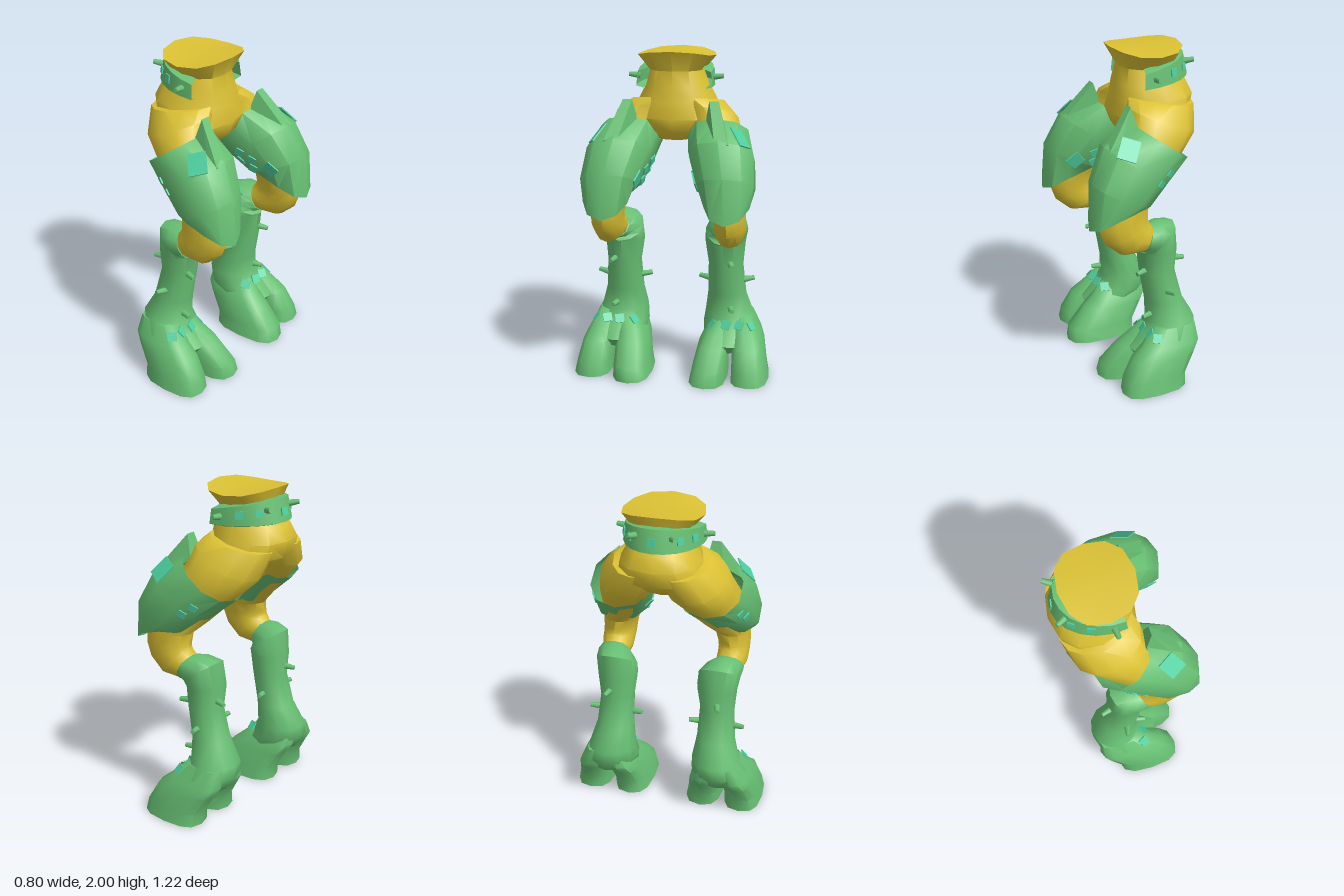
import * as THREE from 'three';
import { toCreasedNormals } from 'three/addons/utils/BufferGeometryUtils.js';
import { ConvexGeometry } from 'three/addons/geometries/ConvexGeometry.js';

const mat = (name, color, side = THREE.FrontSide) => {
  const m = new THREE.MeshStandardMaterial({ color, side });
  m.name = name;
  return m;
};
const V = (x, y, z) => new THREE.Vector3(x, y, z);

// Skin a row of elliptical rings: [x, y, z, tilt in degrees, radius u, radius z, side lift]
function loft(rings, { n = 12, pow = 1, from = 0, to = 360, caps = true, crease = 0.75 } = {}) {
  const pos = [], idx = [], row = n + 1;
  const soft = v => Math.sign(v) * Math.abs(v) ** pow;
  const rad = THREE.MathUtils.degToRad;
  for (const [x, y, z, tilt, ru, rz, lift = 0] of rings) {
    for (let i = 0; i <= n; i++) {
      const t = rad(from + (to - from) * i / n);
      const c = soft(Math.cos(t)) * ru, s = Math.sin(t);
      pos.push(x + c * Math.cos(rad(tilt)), y + c * Math.sin(rad(tilt)) + lift * s * s, z + soft(s) * rz);
    }
  }
  for (let r = 0; r < rings.length - 1; r++) {
    for (let i = 0; i < n; i++) {
      const a = r * row + i, b = a + 1, c = a + row, d = c + 1;
      idx.push(a, b, c, b, d, c);
    }
  }
  if (caps) {
    for (const r of [0, rings.length - 1]) {
      const centre = pos.length / 3, [x, y, z, , , , lift = 0] = rings[r];
      pos.push(x, y + lift / 2, z);
      for (let i = 0; i < n; i++) {
        const a = r * row + i;
        if (r) idx.push(centre, a, a + 1); else idx.push(centre, a + 1, a);
      }
    }
  }
  const g = new THREE.BufferGeometry();
  g.setAttribute('position', new THREE.Float32BufferAttribute(pos, 3));
  g.setIndex(idx);
  return toCreasedNormals(g, crease);
}

function part(group, name, geometry, material) {
  const mesh = new THREE.Mesh(geometry, material);
  mesh.name = name;
  group.add(mesh);
  return mesh;
}

// Set a small piece on the surface found near a target, facing outwards
function stick(group, name, meshes, target, out, geometry, material, roll = 0) {
  const dir = out.clone().normalize();
  const ray = new THREE.Raycaster(target.clone().addScaledVector(dir, 0.8), dir.clone().negate());
  const hit = ray.intersectObjects(meshes, false)[0];
  if (!hit) return;
  const normal = hit.face.normal.clone();
  if (normal.dot(dir) < 0) normal.negate();
  const o = new THREE.Object3D();
  o.position.copy(hit.point).addScaledVector(normal, 0.004);
  o.lookAt(o.position.clone().add(normal));
  o.rotateZ(roll);
  o.updateMatrix();
  part(group, name, geometry.applyMatrix4(o.matrix), material);
}
const plate = (w, h = w) => new THREE.BoxGeometry(w, h, 0.008);
const stud = () => new THREE.CylinderGeometry(0.014, 0.021, 0.07, 7).rotateX(Math.PI / 2).translate(0, 0, 0.02);

// Copy a group to the other side, with the corner order reversed
function mirrored(group, name) {
  const copy = new THREE.Group();
  copy.name = name;
  for (const m of group.children) {
    const g = m.geometry.clone().scale(1, 1, -1);
    const old = g.index ? Array.from(g.index.array) : Array.from({ length: g.attributes.position.count }, (_, i) => i);
    for (let i = 0; i < old.length; i += 3) [old[i + 1], old[i + 2]] = [old[i + 2], old[i + 1]];
    g.setIndex(old);
    part(copy, m.name, g, m.material);
  }
  return copy;
}

export function createModel() {
  const gold = mat('gold', 0xdcc234);
  const green = mat('green', 0x68c074, THREE.DoubleSide);
  const teal = mat('teal', 0x4fd0a0);
  const model = new THREE.Group();
  model.name = 'armouredLegs';

  // Pelvis with flared waist
  const hips = new THREE.Group();
  hips.name = 'hips';
  model.add(hips);
  part(hips, 'pelvis', loft([
    [-0.115, 2.0, 0, 0, 0.215, 0.24, -0.035],
    [-0.125, 1.88, 0, 0, 0.165, 0.165],
    [-0.15, 1.78, 0, 0, 0.215, 0.195],
    [-0.165, 1.7, 0, 0, 0.235, 0.24],
    [-0.14, 1.6, 0, 0, 0.235, 0.26],
    [-0.1, 1.52, 0, 0, 0.17, 0.17],
    [-0.08, 1.47, 0, 0, 0.1, 0.1],
  ], { pow: 0.85 }), gold);

  // Half belt around the back
  const belt = part(hips, 'belt', loft([
    [-0.08, 1.9, 0, -12, 0.2, 0.17],
    [-0.08, 1.885, 0, -12, 0.28, 0.225],
    [-0.08, 1.79, 0, -4, 0.305, 0.235],
    [-0.08, 1.775, 0, -4, 0.25, 0.19],
  ], { from: 78, to: 282, caps: false }), green);
  for (const s of [1, -1]) {
    stick(hips, 'beltStud', [belt], V(-0.34, 1.89, s * 0.11), V(-1, 0, s * 0.45), stud(), green);
    stick(hips, 'beltStud', [belt], V(-0.09, 1.84, s * 0.23), V(0, 0, s), stud(), green);
    stick(hips, 'beltPlate', [belt], V(-0.31, 1.87, s * 0.15), V(-0.7, 0, s), plate(0.04), teal);
    stick(hips, 'beltPlate', [belt], V(-0.21, 1.86, s * 0.2), V(-0.3, 0, s), plate(0.045), teal);
  }
  stick(hips, 'beltPlate', [belt], V(-0.36, 1.87, 0), V(-1, 0, 0), plate(0.045), teal);

  const leg = new THREE.Group();
  leg.name = 'leftLeg';
  model.add(leg);

  // Thigh and bent knee
  part(leg, 'thigh', loft([
    [-0.17, 1.69, 0.12, 10, 0.21, 0.16],
    [-0.135, 1.59, 0.19, 24, 0.222, 0.185],
    [-0.07, 1.49, 0.24, 35, 0.185, 0.165],
    [0.07, 1.33, 0.3, 35, 0.17, 0.14],
    [0.185, 1.14, 0.355, 0, 0.155, 0.11],
    [0.185, 1.06, 0.365, -8, 0.155, 0.1],
    [0.17, 1.01, 0.368, -22, 0.148, 0.097],
    [0.12, 0.96, 0.368, -45, 0.128, 0.095],
    [0.04, 0.94, 0.36, -68, 0.085, 0.085],
  ]), gold);

  // Thigh guard shell
  const guard = part(leg, 'thighGuard', loft([
    [-0.08, 1.5, 0.265, 35, 0.2, 0.19],
    [0.09, 1.39, 0.305, 34, 0.225, 0.2],
    [0.2, 1.24, 0.345, 25, 0.19, 0.175],
    [0.215, 1.105, 0.36, -17, 0.19, 0.14, 0.05],
  ], { n: 10, caps: false, pow: 0.9 }), green);
  part(leg, 'thighRidge', new ConvexGeometry([
    V(0.1, 1.72, 0.23), V(0.1, 1.72, 0.285), V(0.27, 1.5, 0.285), V(0.27, 1.5, 0.365),
    V(0.06, 1.58, 0.2), V(0.06, 1.58, 0.31), V(0.24, 1.44, 0.27), V(0.24, 1.44, 0.38),
  ]), green);
  stick(leg, 'guardPlate', [guard], V(0.17, 1.51, 0.41), V(0.35, 0.6, 0.5), plate(0.11, 0.13), teal, 0.4);
  stick(leg, 'guardPlate', [guard], V(0.25, 1.27, 0.17), V(0.5, -0.1, -0.8), plate(0.085), teal, 0.7);
  for (let i = 0; i < 4; i++) {
    const x = 0.06 + 0.07 * (i % 2), y = 1.36 - 0.05 * (i % 2) - 0.07 * (i >> 1);
    stick(leg, 'guardSmallPlate', [guard], V(x, y, 0.15), V(0, -0.3, -1), plate(0.05), teal, 0.4);
  }
  for (const [x, y] of [[-0.07, 1.35], [0, 1.31]]) {
    stick(leg, 'guardSmallPlate', [guard], V(x, y, 0.45), V(-0.2, -0.2, 1), plate(0.05, 0.04), teal, 0.6);
  }

  // Shin and ankle
  const shin = part(leg, 'shin', loft([
    [0.05, 0.94, 0.36, -67, 0.085, 0.095],
    [0.0, 0.94, 0.345, -55, 0.105, 0.115],
    [-0.04, 0.92, 0.325, -35, 0.14, 0.13],
    [-0.055, 0.84, 0.315, 0, 0.12, 0.125],
    [-0.055, 0.7, 0.32, 0, 0.108, 0.108],
    [-0.1, 0.5, 0.325, 0, 0.116, 0.12],
    [-0.14, 0.37, 0.335, 0, 0.15, 0.15],
    [-0.11, 0.29, 0.35, 0, 0.175, 0.175],
    [-0.05, 0.21, 0.36, 0, 0.185, 0.17],
    [-0.03, 0.16, 0.36, 0, 0.13, 0.08],
  ], { crease: 0.9 }), green);

  // Cloven foot
  const toe = (name, side, tip) => part(leg, name, loft([
    [-0.13, 0.36, 0.365 + side * 0.06, 0, 0.13, 0.06],
    [-0.085, 0.26, 0.365 + side * 0.09, 0, 0.185, 0.085],
    [-0.03, 0.2, 0.365 + side * 0.105, 0, 0.2, 0.098],
    [(tip - 0.155) / 2 - 0.01, 0.08, 0.365 + side * 0.12, 0, (tip + 0.155) / 2 - 0.005, 0.108],
    [(tip - 0.155) / 2, 0, 0.365 + side * 0.127, 0, (tip + 0.155) / 2, 0.117],
  ], { pow: 0.72, crease: 0.9 }), green);
  const foot = [shin, toe('outerToe', 1, 0.25), toe('innerToe', -1, 0.3)];

  // Shin studs and ankle plates
  stick(leg, 'shinStud', foot, V(-0.16, 0.76, 0.34), V(-1, 0, 0), stud(), green);
  stick(leg, 'shinStud', foot, V(0.05, 0.72, 0.36), V(1, 0, 0), stud(), green);
  stick(leg, 'shinStud', foot, V(0, 0.42, 0.36), V(1, 0, 0), stud(), green);
  for (const s of [1, -1]) stick(leg, 'shinStud', foot, V(-0.08, 0.59, 0.33 + s * 0.1), V(0, 0, s), stud(), green);
  for (const z of [0.48, 0.41, 0.34, 0.26]) {
    stick(leg, 'anklePlate', foot, V(0, 0.31, z), V(1, 0.3, (z - 0.36) * 4), plate(0.055), teal, 0.1);
  }

  model.add(mirrored(leg, 'rightLeg'));
  return model;
}
